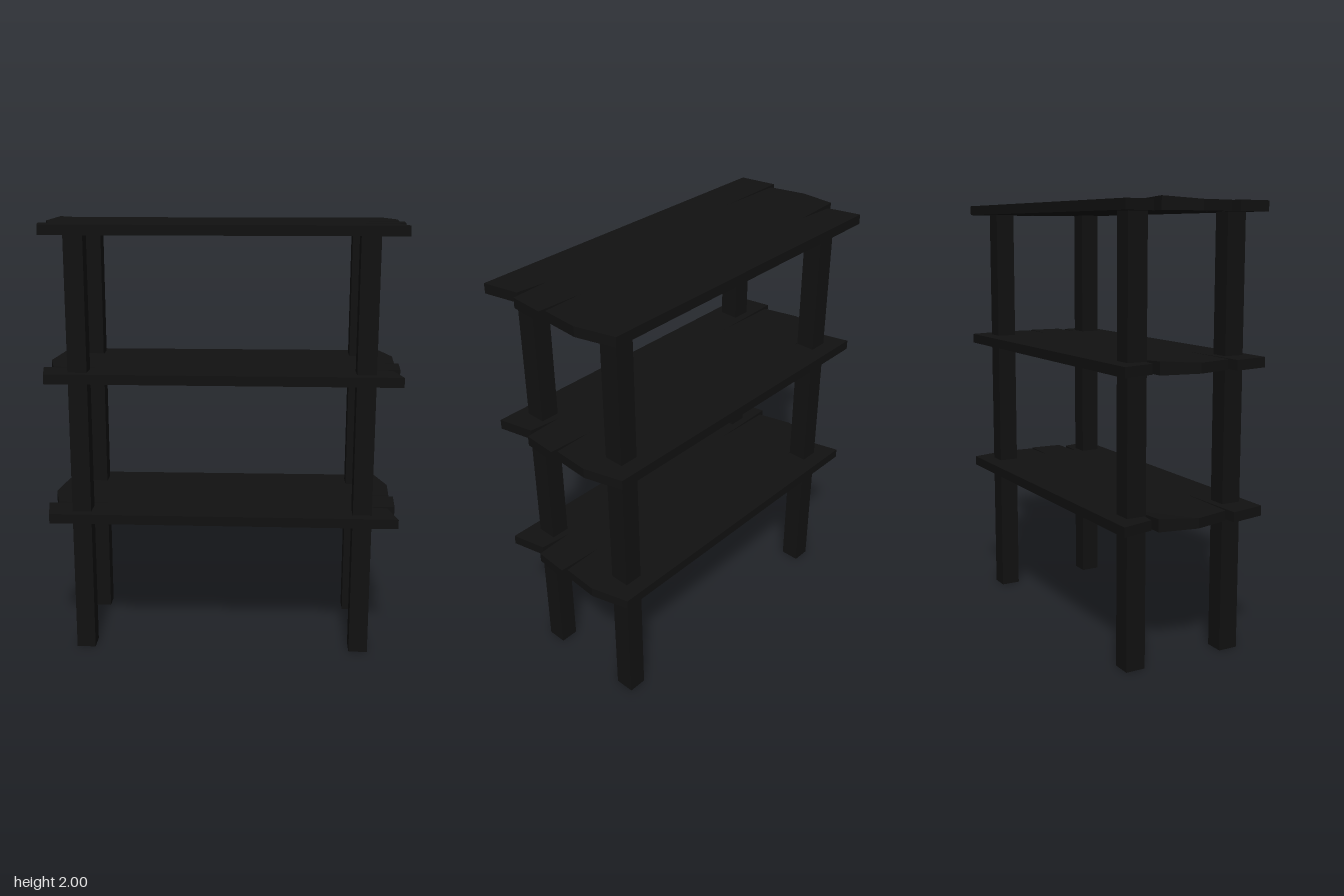
import * as THREE from 'three';

// Shelf outline as [x, z]: ragged ends with two splits on each side
const OUTLINE = [
  [-0.79, -0.352], [0.762, -0.355], [0.81, -0.18], [0.8, -0.01],
  [0.61, -0.005], [0.82, 0.005], [0.81, 0.165], [0.63, 0.174],
  [0.773, 0.19], [0.808, 0.35], [-0.79, 0.342], [-0.822, 0.173],
  [-0.465, 0.168], [-0.78, 0.158], [-0.823, -0.01], [-0.79, -0.188],
  [-0.58, -0.185], [-0.752, -0.2],
];
const THICKNESS = 0.045;
const WARPED_CORNER = [-0.79, -0.188];

function shelfGeometry() {
  const shape = new THREE.Shape(OUTLINE.map(([x, z]) => new THREE.Vector2(x, z)));
  const geometry = new THREE.ExtrudeGeometry(shape, { depth: THICKNESS, bevelEnabled: false });
  geometry.rotateX(Math.PI / 2); // top face at y = 0, underside below it

  // Lift the warped corner of the middle plank
  const p = geometry.attributes.position;
  for (let i = 0; i < p.count; i++) {
    const dx = p.getX(i) - WARPED_CORNER[0];
    const dz = p.getZ(i) - WARPED_CORNER[1];
    if (Math.hypot(dx, dz) < 0.005 && p.getY(i) > -0.01) p.setY(i, 0.012);
  }
  geometry.computeVertexNormals();
  return geometry;
}

export function createModel() {
  const group = new THREE.Group();
  group.name = 'shelfRack';
  const material = new THREE.MeshStandardMaterial({ color: 0x111111, flatShading: true });

  // Three identical plank shelves
  const shelf = shelfGeometry();
  ['lowerShelf', 'middleShelf', 'topShelf'].forEach((name, i) => {
    const mesh = new THREE.Mesh(shelf, material);
    mesh.name = name;
    mesh.position.y = 0.68 + i * 0.654;
    group.add(mesh);
  });

  // Four square posts
  const height = 1.96;
  const post = new THREE.BoxGeometry(0.087, height, 0.092);
  for (const [side, x] of [['Left', 0.648], ['Right', -0.645]]) {
    for (const [end, z] of [['front', 0.253], ['back', -0.234]]) {
      const mesh = new THREE.Mesh(post, material);
      mesh.name = `${end}${side}Post`;
      mesh.position.set(x, height / 2, z);
      group.add(mesh);
    }
  }
  return group;
}
